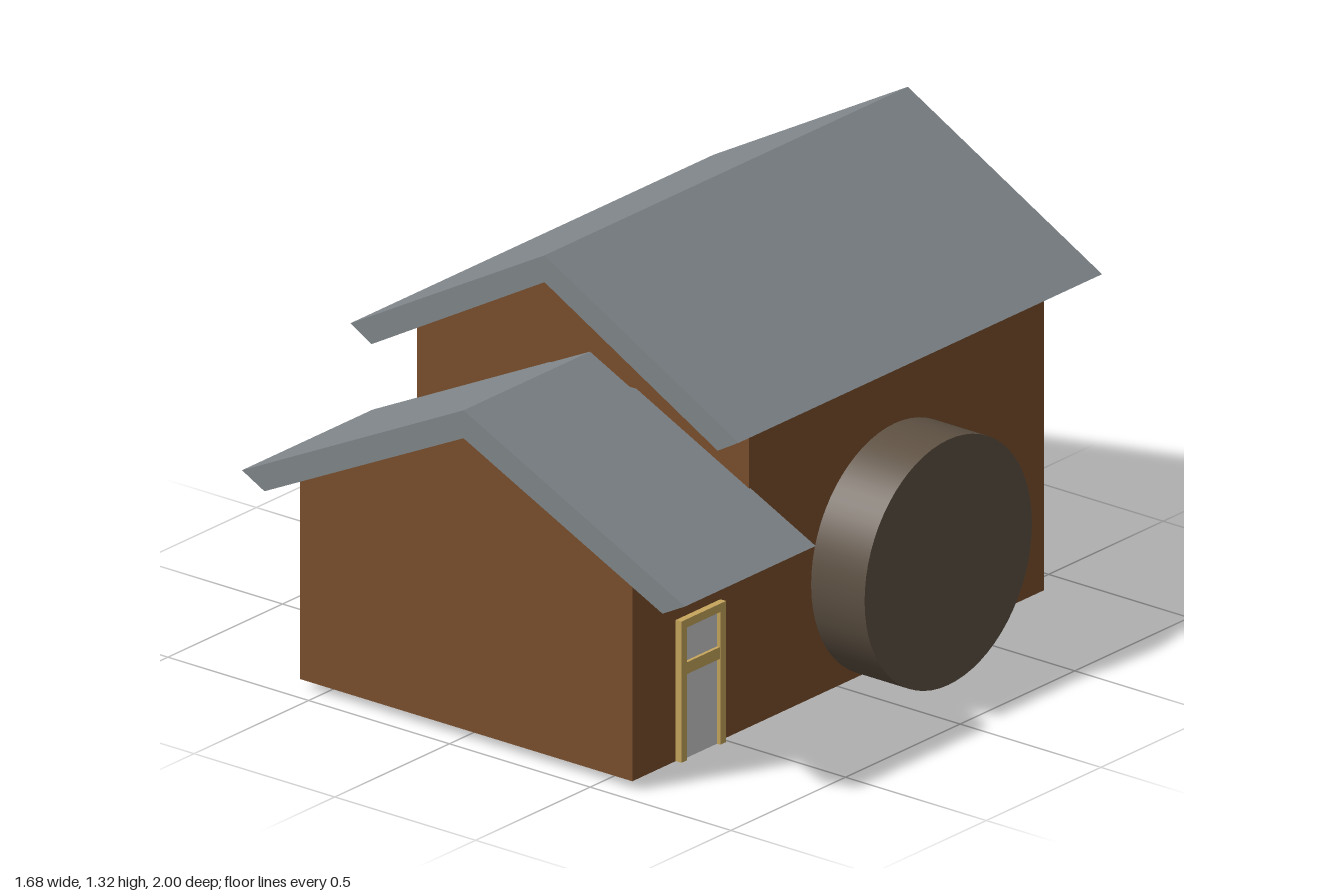
import * as THREE from 'three';

const mat = (name, color) => {
  const m = new THREE.MeshStandardMaterial({ color });
  m.name = name;
  return m;
};

export function createModel() {
  const brown = mat('wall brown', 0x7a4f2d);
  const grey = mat('roof grey', 0x80868a);
  const tan = mat('trim tan', 0xc6a55c);
  const pale = mat('pane pale grey', 0xcacaca);
  const dark = mat('wheel brown', 0x5e5143);
  const red = mat('support red', 0xb0604f);
  const beamBrown = mat('beam brown', 0x6e4a30);

  const model = new THREE.Group();
  model.name = 'house';

  const add = (parent, name, geo, material, x = 0, y = 0, z = 0) => {
    const m = new THREE.Mesh(geo, material);
    m.name = name;
    m.position.set(x, y, z);
    parent.add(m);
    return m;
  };
  // Box given by its two corners
  const box = (parent, name, material, x0, x1, y0, y1, z0, z1) =>
    add(parent, name, new THREE.BoxGeometry(x1 - x0, y1 - y0, z1 - z0), material,
      (x0 + x1) / 2, (y0 + y1) / 2, (z0 + z1) / 2);
  // Outline in x and y, extruded from z0 to z1
  const prism = (name, material, pts, z0, z1) => {
    const shape = new THREE.Shape(pts.map(p => new THREE.Vector2(...p)));
    return add(model, name,
      new THREE.ExtrudeGeometry(shape, { depth: z1 - z0, bevelEnabled: false }), material, 0, 0, z0);
  };
  const group = (name, x, y, z, turn) => {
    const g = new THREE.Group();
    g.name = name;
    g.position.set(x, y, z);
    g.rotation.y = turn;
    model.add(g);
    return g;
  };

  // Walls
  box(model, 'mainWalls', brown, -0.575, 0.605, 0.035, 0.95, -0.85, 0.435);
  prism('mainGable', brown, [[-0.56, 0.945], [0.56, 0.945], [0, 1.255]], -0.863, 0.448);
  prism('frontWalls', brown, [[-0.575, 0.035], [0.605, 0.035], [0.605, 0.67],
    [0.05, 0.94], [-0.575, 0.64]], 0.435, 0.945);

  // Roofs: bent slabs with square-cut eaves
  const roof = (name, cx, peak, under, outer, outerY, inner, innerY, z0, z1) =>
    prism(name, grey, [[cx, peak], [cx - outer, outerY], [cx - inner, innerY], [cx, under],
      [cx + inner, innerY], [cx + outer, outerY]], z0, z1);
  roof('mainRoof', 0, 1.33, 1.25, 0.69, 0.95, 0.615, 0.907, -1, 0.585);
  roof('frontRoof', 0.05, 1.013, 0.93, 0.787, 0.632, 0.707, 0.59, 0.43, 1);

  // Big round wheel on the side
  const wheel = add(model, 'sideWheel', new THREE.CylinderGeometry(0.365, 0.365, 0.2, 64),
    dark, 0.695, 0.373, -0.2);
  wheel.rotation.z = -Math.PI / 2;

  // Doors: local x across, y up, z outwards
  const door = (name, x, y, z, turn) => {
    const g = group(name, x, y, z, turn);
    const w = 0.0975, h = 0.42, f = 0.025;
    box(g, 'doorPanel', pale, -w + f, w - f, 0, h - f, 0, 0.008);
    for (const s of [-1, 1])
      add(g, 'doorPost', new THREE.BoxGeometry(f, h, 0.022), tan, s * (w - f / 2), h / 2, 0.009);
    box(g, 'doorHead', tan, -w + f, w - f, h - f, h, -0.002, 0.02);
    box(g, 'doorCrossbar', tan, -w + f, w - f, 0.255, 0.29, -0.002, 0.018);
  };
  door('rightDoor', 0.605, 0.035, 0.658, Math.PI / 2);
  door('leftDoor', -0.575, 0.425, 0.24, -Math.PI / 2);

  // Back windows
  for (const x of [0.14, -0.115]) {
    const g = group('backWindow', x, 0.615, -0.85, Math.PI);
    const w = 0.073, h = 0.235, f = 0.021;
    box(g, 'windowPane', pale, -w + f, w - f, f, h - f, 0, 0.005);
    for (const s of [-1, 1])
      add(g, 'windowPost', new THREE.BoxGeometry(f, h, 0.018), tan, s * (w - f / 2), h / 2, 0.007);
    box(g, 'windowSill', tan, -w + f, w - f, 0, f, -0.002, 0.016);
    box(g, 'windowHead', tan, -w + f, w - f, h - f, h, -0.002, 0.016);
    box(g, 'windowCrossbar', tan, -w + f, w - f, 0.13, 0.148, -0.002, 0.013);
    box(g, 'windowMullion', tan, -0.008, 0.008, 0.148, h - f, -0.002, 0.013);
  }

  // Stairs along the left-hand wall, climbing towards the front
  for (let i = 0; i < 7; i++)
    add(model, 'stairTread', new THREE.BoxGeometry(0.25, 0.027, 0.082), tan,
      -0.703, 0.074 + 0.0567 * i, -0.664 + 0.0675 * i);

  // Central sloping support: outline in z and y, turned to span x
  const slope = new THREE.Shape([[-0.7, 0.035], [-0.63, 0.035], [-0.21, 0.375], [-0.21, 0.405],
    [-0.245, 0.405]].map(([z, y]) => new THREE.Vector2(-z, y)));
  const stringer = add(model, 'stairStringer',
    new THREE.ExtrudeGeometry(slope, { depth: 0.085, bevelEnabled: false }), red, -0.745, 0, 0);
  stringer.rotation.y = Math.PI / 2;

  // Handrails with end posts
  for (const x of [-0.83, -0.586]) {
    const a = new THREE.Vector3(x, 0.165, -0.73), b = new THREE.Vector3(x, 0.585, -0.218);
    const rail = add(model, 'handrail', new THREE.BoxGeometry(0.02, 0.016, a.distanceTo(b)), tan);
    rail.position.copy(a).lerp(b, 0.5);
    rail.rotation.x = -Math.atan2(b.y - a.y, b.z - a.z);
    box(model, 'lowerRailPost', red, x - 0.007, x + 0.007, 0.07, 0.19, -0.703, -0.685);
    box(model, 'upperRailPost', red, x - 0.007, x + 0.007, 0.41, 0.568, -0.25, -0.232);
  }

  // Landing: two beams under loosely laid planks [z, depth, skew]
  for (const x of [-0.808, -0.612])
    box(model, 'landingBeam', beamBrown, x - 0.011, x + 0.011, 0.39, 0.422, -0.215, 0.385);
  for (const [z, d, skew] of [[-0.163, 0.05, 0.05], [-0.06, 0.095, -0.07], [0.09, 0.088, 0.05],
    [0.21, 0.095, -0.05], [0.348, 0.048, 0.06]]) {
    const plank = add(model, 'landingPlank', new THREE.BoxGeometry(0.262, 0.024, d), tan, -0.707, 0.42, z);
    plank.rotation.y = skew;
  }
  return model;
}
